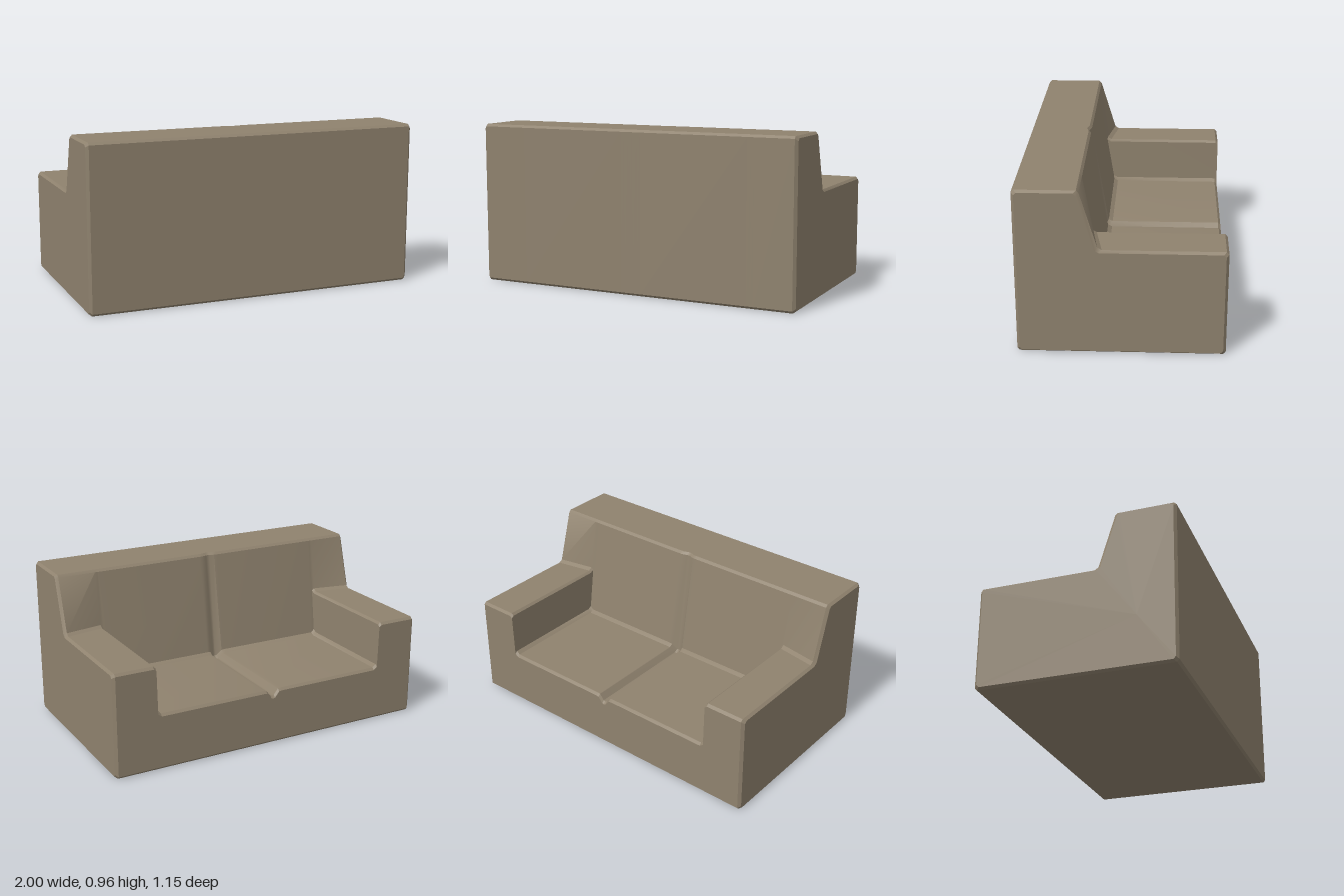
import * as THREE from 'three';
import { toCreasedNormals } from 'three/addons/utils/BufferGeometryUtils.js';

const F = 0.575; // half depth
const T = 0.96;  // top of the backrest
const C = 0.014; // bevel

// Side profile as [z, y]: h = height of arm or seat, zs = foot of the back slope,
// zt = top of the slope, e = inset for the bevelled ends
function profile(h, zs, zt, e = 0) {
  const d = F - e, t = T - e * 0.8, s = h - e * 0.8, b = e * 0.8;
  return [
    [-d + C, b], [-d, b + C], [-d, s - C], [-d + C, s],
    [zs + e - 0.022, s], [zs + e + 0.002, s + 0.014],
    [zt + e, t - C], [zt + e + C, t],
    [d - C, t], [d, t - C], [d, b + C], [d - C, b],
  ];
}

// Cross-sections from the middle outwards: x, h, zs, zt, inset
const half = [
  [0, 0.295, 0.14, 0.232, 0],
  [0.012, 0.298, 0.137, 0.23, 0],
  [0.04, 0.332, 0.122, 0.221, 0],
  [0.06, 0.335, 0.12, 0.22, 0],
  [0.715, 0.335, 0.12, 0.22, 0],
  [0.737, 0.352, 0.124, 0.22, 0],
  [0.742, 0.607, 0.166, 0.22, 0],
  [0.756, 0.62, 0.165, 0.22, 0],
  [0.984, 0.62, 0.124, 0.22, 0],
  [1, 0.62, 0.124, 0.22, 0.015],
];

function loftBody() {
  const rows = [
    ...half.slice(1).reverse().map(([x, ...r]) => [-x, ...r]),
    ...half,
  ].map(([x, h, zs, zt, e]) => profile(h, zs, zt, e).map(([z, y]) => [x, y, z]));
  const n = rows[0].length;
  const pos = [];
  const tri = (...pts) => pts.forEach((p) => pos.push(...p));

  // Skin between neighbouring sections
  for (let i = 0; i < rows.length - 1; i++) {
    for (let j = 0; j < n; j++) {
      const k = (j + 1) % n;
      tri(rows[i][j], rows[i][k], rows[i + 1][j]);
      tri(rows[i][k], rows[i + 1][k], rows[i + 1][j]);
    }
  }
  // Flat end caps, fanned from a point that sees the whole outline
  const first = rows[0], last = rows[rows.length - 1];
  for (let j = 0; j < n; j++) {
    const k = (j + 1) % n;
    tri([1, 0.3, 0.35], last[j], last[k]);
    tri([-1, 0.3, 0.35], first[k], first[j]);
  }
  const geo = new THREE.BufferGeometry();
  geo.setAttribute('position', new THREE.Float32BufferAttribute(pos, 3));
  return toCreasedNormals(geo, 0.5);
}

export function createModel() {
  const group = new THREE.Group();
  group.name = 'sofa';
  // One upholstered body: arms, grooved seat and sloping backrest
  const body = new THREE.Mesh(loftBody(), new THREE.MeshStandardMaterial({ color: 0x8f826e }));
  body.name = 'sofaBody';
  group.add(body);
  return group;
}
